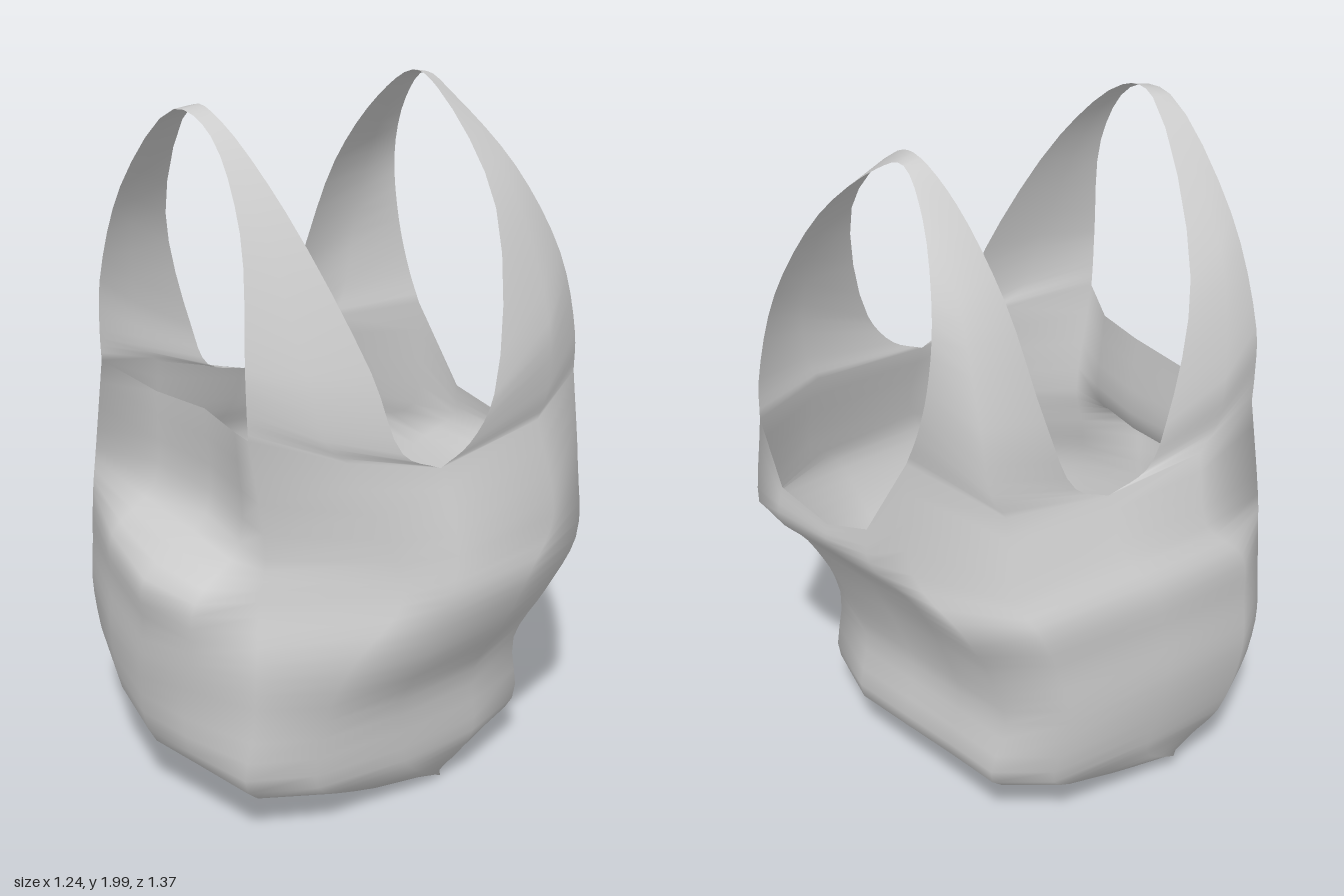
import * as THREE from 'three';
import { mergeVertices } from 'three/addons/utils/BufferGeometryUtils.js';

const V = (p) => new THREE.Vector3(...p);
const { clamp } = THREE.MathUtils;

// Plan outline of the bag, from front left corner round the right side and back
const outline = [
  [-0.8, 0.74], [-0.35, 0.9], [0.1, 1], [0.42, 0.94], [0.66, 0.81], [0.86, 0.42], [1, 0], [0.95, -0.5],
  [0.8, -0.9], [0.35, -1], [-0.05, -0.95], [-0.42, -0.9], [-0.78, -0.86], [-0.98, -0.6], [-1, 0], [-0.98, 0.5],
];

// Sagging body: height, -x side, +x side, front z, back z, skew of z along x,
// then x and z of the two points at the slumped front right corner
const levels = [
  [0.025, -0.52, 0.38, 0.02, 0.02, 0.38, 0.28, -0.086, 0.36, -0.117],
  [0.1, -0.55, 0.43, 0.36, -0.28, 0.12, 0.33, 0.32, 0.41, 0.2],
  [0.18, -0.58, 0.46, 0.61, -0.47, 0, 0.36, 0.54, 0.44, 0.36],
  [0.4, -0.62, 0.49, 0.66, -0.45, 0, 0.38, 0.53, 0.47, 0.36],
  [0.58, -0.62, 0.58, 0.67, -0.5, 0, 0.38, 0.52, 0.52, 0.3],
  [0.74, -0.62, 0.62, 0.675, -0.58, 0, 0.34, 0.48, 0.56, 0.17],
];

// Low points of the mouth at each side
const dipR = [0.51, 1.05, 0], dipL = [-0.48, 1.05, -0.02];

// Upper edges of the front and back panels
const frontEdge = [[-0.47, 1.18, 0.48], [-0.2, 1.16, 0.46], [0.02, 1.17, 0.44], [0.2, 1.16, 0.46], [0.34, 1.19, 0.51]];
const backEdge = [[0.29, 1.13, -0.67], [0.18, 0.96, -0.67], [0, 0.92, -0.63], [-0.15, 0.97, -0.59], [-0.27, 1.22, -0.53]];

// Handles: edge of the hand hole and edge of the mouth
const handles = {
  frontHandle: {
    hole: [frontEdge[0], [-0.475, 1.27, 0.48], [-0.48, 1.42, 0.47], [-0.36, 1.72, 0.46], [-0.1, 1.98, 0.44],
      [0.08, 1.94, 0.44], [0.24, 1.72, 0.46], [0.33, 1.38, 0.51], [0.335, 1.26, 0.51], frontEdge[4]],
    mouth: [dipL, [-0.48, 1.09, 0.11], [-0.49, 1.22, 0.16], [-0.42, 1.6, 0.28], [-0.1, 1.985, 0.38],
      [0.05, 1.97, 0.39], [0.26, 1.76, 0.33], [0.46, 1.35, 0.2], [0.51, 1.12, 0.13], dipR],
  },
  backHandle: {
    hole: [backEdge[0], [0.3, 1.25, -0.66], [0.29, 1.5, -0.6], [0.2, 1.75, -0.5], [0.02, 1.93, -0.42], [-0.1, 1.98, -0.41],
      [-0.22, 1.88, -0.43], [-0.35, 1.67, -0.49], [-0.35, 1.47, -0.51], [-0.31, 1.32, -0.52], backEdge[4]],
    mouth: [dipR, [0.51, 1.1, -0.1], [0.5, 1.22, -0.19], [0.32, 1.68, -0.33], [0.03, 1.96, -0.35], [-0.1, 1.99, -0.36],
      [-0.22, 1.9, -0.33], [-0.38, 1.68, -0.29], [-0.48, 1.35, -0.23], [-0.48, 1.11, -0.13], dipL],
  },
};

// Middle of the strap, bulging outward where it is wide, most of all at the back left
function between(a, b) {
  const m = a.clone().lerp(b, 0.5);
  const out = new THREE.Vector3(m.x, 0, m.z).normalize();
  const bulge = (m.x < 0 && m.z < 0 ? 0.34 : 0.11) * clamp(Math.abs(m.x) / 0.4, 0, 1);
  return m.addScaledVector(out, bulge * a.distanceTo(b));
}

function smooth(points, steps) {
  return new THREE.CatmullRomCurve3(points).getPoints((points.length - 1) * steps);
}

// Rows of points to triangles; each row lies above or inside the one before
function gridTriangles(rows, closed) {
  const out = [];
  const n = rows[0].length;
  for (let i = 0; i < rows.length - 1; i++) {
    for (let j = 0; j < (closed ? n : n - 1); j++) {
      const k = (j + 1) % n;
      const a = rows[i][j], b = rows[i][k], c = rows[i + 1][k], d = rows[i + 1][j];
      for (const p of [a, b, c, a, c, d]) out.push(p.x, p.y, p.z);
    }
  }
  return out;
}

function bodyRows() {
  const point = (x, y, z) => new THREE.Vector3(x, y - 0.065 * x, z);
  const rings = levels.map(([y, left, right, front, back, skew, x4, z4, x5, z5]) => {
    const ring = outline.map(([u, v]) => {
      const x = (left + right) / 2 + u * (right - left) / 2;
      const z = (front + back) / 2 + v * (front - back) / 2;
      return point(x, y, z - skew * x);
    });
    ring.splice(4, 2, point(x4, y, z4), point(x5, y, z5));
    return ring;
  });
  // Top ring follows the panel edges and the roots of the straps
  const F = frontEdge.map(V), B = backEdge.map(V), R = V(dipR), L = V(dipL);
  const top = [...F, between(F[4], R), R, between(B[0], R), ...B, between(B[4], L), L, between(F[0], L)];
  // Waist above the fold repeats the top ring a little wider
  const waist = top.map((p) => {
    const x = p.x * (Math.abs(p.z) > 0.42 ? 1.1 : 1.17);
    return point(clamp(x, -0.57, 0.6), 0.86, p.z * 1.01);
  });
  waist.splice(4, 2, point(0.34, 0.86, 0.46), point(0.54, 0.86, 0.17));
  rings.push(waist, top);
  const columns = outline.map((_, j) => smooth(rings.map((r) => r[j]), 4));
  return columns[0].map((_, i) => columns.map((c) => c[i]));
}

function handleRows({ hole, mouth }) {
  const h = smooth(hole.map(V), 4), m = smooth(mouth.map(V), 4);
  return [h, h.map((p, i) => between(p, m[i])), m];
}

export function createModel() {
  const group = new THREE.Group();
  group.name = 'carrierBag';
  const material = new THREE.MeshStandardMaterial({ color: 0xcccccc, side: THREE.DoubleSide });

  const parts = [['bagBody', gridTriangles(bodyRows(), true)]];
  for (const name in handles) parts.push([name, gridTriangles(handleRows(handles[name]), false)]);

  // Shared normals keep the joins between body and handles smooth
  const all = new THREE.BufferGeometry();
  all.setAttribute('position', new THREE.Float32BufferAttribute(parts.flatMap((p) => p[1]), 3));
  const welded = mergeVertices(all, 1e-4);
  welded.computeVertexNormals();

  let start = 0;
  for (const [name, triangles] of parts) {
    const count = triangles.length / 3;
    const geometry = new THREE.BufferGeometry();
    geometry.setAttribute('position', welded.attributes.position);
    geometry.setAttribute('normal', welded.attributes.normal);
    geometry.setIndex(Array.from(welded.index.array.slice(start, start + count)));
    start += count;
    const mesh = new THREE.Mesh(geometry, material);
    mesh.name = name;
    group.add(mesh);
  }
  return group;
}
